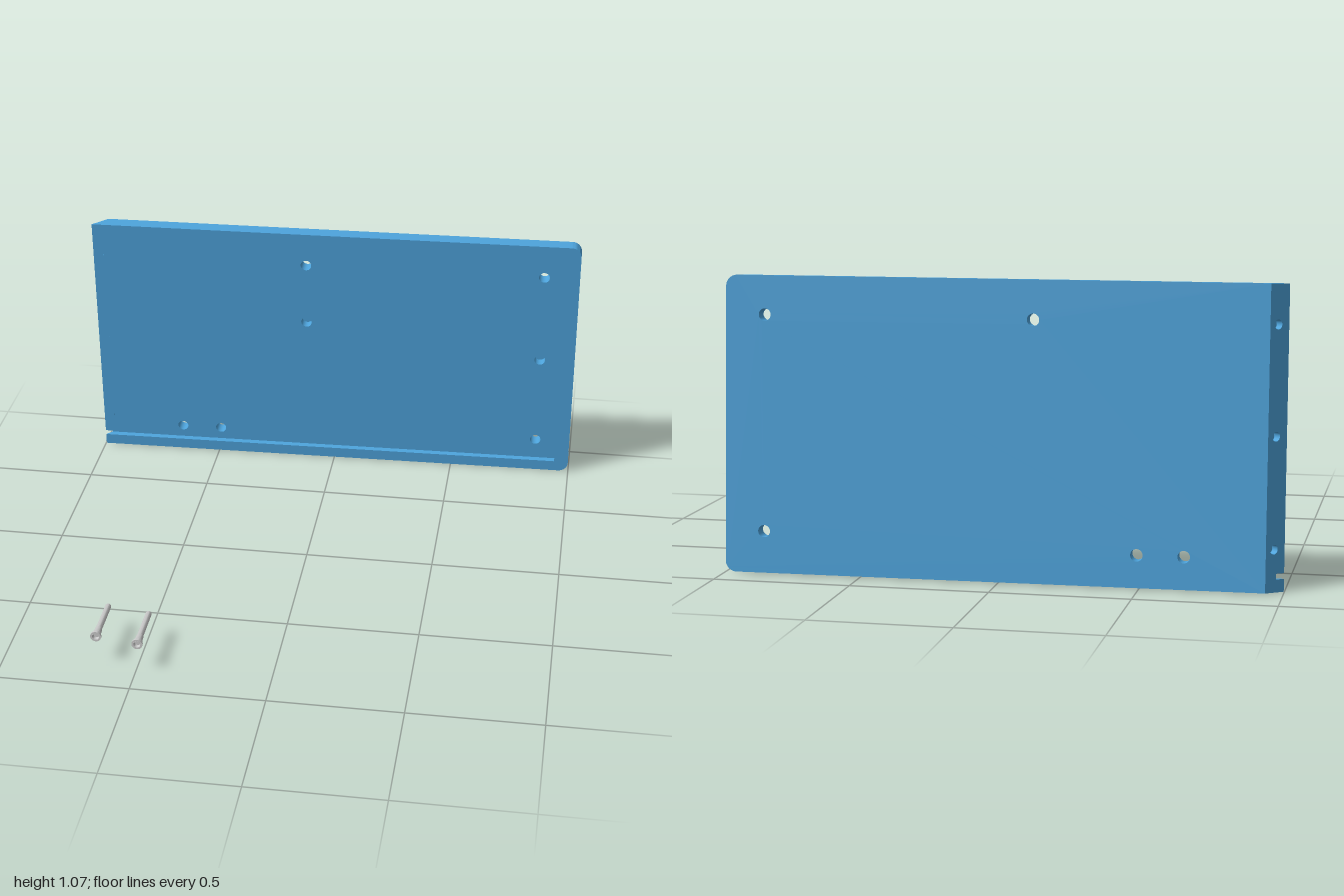
import * as THREE from 'three';
import { toCreasedNormals } from 'three/addons/utils/BufferGeometryUtils.js';

const W = 0.998;            // half width
const H = 1.065;            // height
const T = 0.056;            // thickness
const M = 0.06;             // how far the mitred left edge runs in
const R = 0.04;             // rounded right corners
const G = { y0: 0.045, y1: 0.065, x1: 0.94, depth: 0.024 }; // groove
const HOLE = 0.022;

const blue = new THREE.MeshStandardMaterial({ color: 0x4da3db, side: THREE.DoubleSide });
const grey = new THREE.MeshStandardMaterial({ color: 0xcccccc, side: THREE.DoubleSide });

const throughHoles = [[-0.115, 0.925], [0.855, 0.925], [0.855, 0.15], [-0.655, 0.115], [-0.49, 0.115]];
const blindHoles = [[-0.115, 0.66], [0.855, 0.54]];
const mitreHoles = [0.15, 0.54, 0.925];

function add(parent, name, geometry, material = blue) {
  const mesh = new THREE.Mesh(geometry, material);
  mesh.name = name;
  parent.add(mesh);
  return mesh;
}

function punch(shape, holes, r) {
  for (const [x, y] of holes) {
    shape.holes.push(new THREE.Path().absarc(x, y, r, 0, Math.PI * 2, true));
  }
  return shape;
}

// Panel outline from a given left edge, optionally with the groove cut in
function outline(left, grooved) {
  const s = new THREE.Shape();
  s.moveTo(left, 0);
  s.lineTo(W - R, 0);
  s.absarc(W - R, R, R, -Math.PI / 2, 0, false);
  s.lineTo(W, H - R);
  s.absarc(W - R, H - R, R, 0, Math.PI / 2, false);
  s.lineTo(left, H);
  if (grooved) {
    s.lineTo(left, G.y1);
    s.lineTo(G.x1, G.y1);
    s.lineTo(G.x1, G.y0);
    s.lineTo(left, G.y0);
  }
  return s;
}

// Four-cornered faces
function quads(list) {
  const pos = [];
  for (const [a, b, c, d] of list) pos.push(...a, ...b, ...c, ...a, ...c, ...d);
  const g = new THREE.BufferGeometry();
  g.setAttribute('position', new THREE.Float32BufferAttribute(pos, 3));
  g.computeVertexNormals();
  return g;
}

// Hole lining, running from z = 0 back to z = -depth
function bore(parent, name, x, y, r, depth, blind) {
  const wall = new THREE.CylinderGeometry(r, r, depth, 24, 1, true);
  wall.rotateX(Math.PI / 2).translate(x, y, -depth / 2);
  add(parent, name, wall);
  if (blind) add(parent, name + 'Floor', new THREE.CircleGeometry(r, 24).translate(x, y, -depth));
}

function createPanel() {
  const panel = new THREE.Group();
  panel.name = 'panel';

  // Front and back faces
  const front = punch(outline(-W, true), [...throughHoles, ...blindHoles], HOLE);
  add(panel, 'frontFace', new THREE.ShapeGeometry(front, 12));
  const back = punch(outline(-W + M, false), throughHoles, HOLE);
  const backGeo = new THREE.ShapeGeometry(back, 12).rotateY(Math.PI);
  backGeo.scale(-1, 1, 1).translate(0, 0, -T);
  const idx = backGeo.index.array;
  for (let i = 0; i < idx.length; i += 3) [idx[i], idx[i + 1]] = [idx[i + 1], idx[i]];
  backGeo.computeVertexNormals();
  add(panel, 'backFace', backGeo);

  // Bottom, right and top edges
  const pts = outline(-W, false).getPoints(8);
  const rim = [];
  for (let i = 0; i < pts.length - 1; i++) {
    const p = pts[i], q = pts[i + 1];
    if (p.distanceTo(q) < 1e-6 || (p.x === -W && q.x === -W)) continue;
    const px = Math.max(p.x, -W + M), qx = Math.max(q.x, -W + M);
    rim.push([[p.x, p.y, 0], [px, p.y, -T], [qx, q.y, -T], [q.x, q.y, 0]]);
  }
  add(panel, 'edges', toCreasedNormals(quads(rim), 0.6));

  // Groove floor, sides and closed end
  const d = -G.depth, gx = -W + M * G.depth / T;
  add(panel, 'groove', quads([
    [[gx, G.y0, d], [G.x1, G.y0, d], [G.x1, G.y1, d], [gx, G.y1, d]],
    [[-W, G.y0, 0], [G.x1, G.y0, 0], [G.x1, G.y0, d], [gx, G.y0, d]],
    [[gx, G.y1, d], [G.x1, G.y1, d], [G.x1, G.y1, 0], [-W, G.y1, 0]],
    [[G.x1, G.y0, 0], [G.x1, G.y1, 0], [G.x1, G.y1, d], [G.x1, G.y0, d]],
  ]));

  // Mitred left edge, notched by the groove, with three dowel holes
  const L = Math.hypot(M, T), n = L * (1 - G.depth / T);
  const mitre = new THREE.Group();
  mitre.name = 'mitredEdge';
  const face = new THREE.Shape([[0, 0], [L, 0], [L, G.y0], [n, G.y0], [n, G.y1], [L, G.y1], [L, H], [0, H]]
    .map(([x, y]) => new THREE.Vector2(x, y)));
  punch(face, mitreHoles.map((y) => [L * 0.42, y]), 0.017);
  add(mitre, 'mitreFace', new THREE.ShapeGeometry(face, 12));
  for (const y of mitreHoles) bore(mitre, 'dowelHole', L * 0.42, y, 0.017, 0.03, true);
  mitre.position.set(-W + M, 0, -T);
  mitre.rotation.y = Math.atan2(-T, -M);
  panel.add(mitre);

  // Hole linings
  for (const [x, y] of throughHoles) bore(panel, 'throughHole', x, y, HOLE, T, false);
  for (const [x, y] of blindHoles) bore(panel, 'blindHole', x, y, HOLE, 0.04, true);

  // Slight lean forward and turn
  panel.rotation.set(THREE.MathUtils.degToRad(4.05), THREE.MathUtils.degToRad(1.3), 0, 'YXZ');
  panel.position.set(0, 0, -0.807);
  return panel;
}

// Countersunk screw with a hexagonal socket, head facing +z
function createScrew(x, y, z) {
  const screw = new THREE.Group();
  screw.name = 'screw';
  const profile = [[0, -0.208], [0.0105, -0.208], [0.0115, -0.205], [0.0115, -0.055], [0.0135, -0.05],
    [0.0145, -0.025], [0.0205, -0.008], [0.0205, 0], [0.013, 0]].map(([r, h]) => new THREE.Vector2(r, h));
  const body = new THREE.LatheGeometry(profile, 24).rotateX(Math.PI / 2);
  add(screw, 'screwBody', toCreasedNormals(body, 0.5), grey);
  const socket = new THREE.CylinderGeometry(0.013, 0.011, 0.014, 12, 1, true).rotateX(Math.PI / 2);
  add(screw, 'socket', socket.translate(0, 0, -0.007), grey);
  add(screw, 'socketFloor', new THREE.CircleGeometry(0.011, 12).translate(0, 0, -0.014), grey);
  screw.position.set(x, y, z);
  return screw;
}

export function createModel() {
  const model = new THREE.Group();
  model.name = 'panelWithScrews';
  model.add(createPanel());
  model.add(createScrew(-0.653, 0.115, 0.857), createScrew(-0.493, 0.115, 0.884));
  return model;
}
